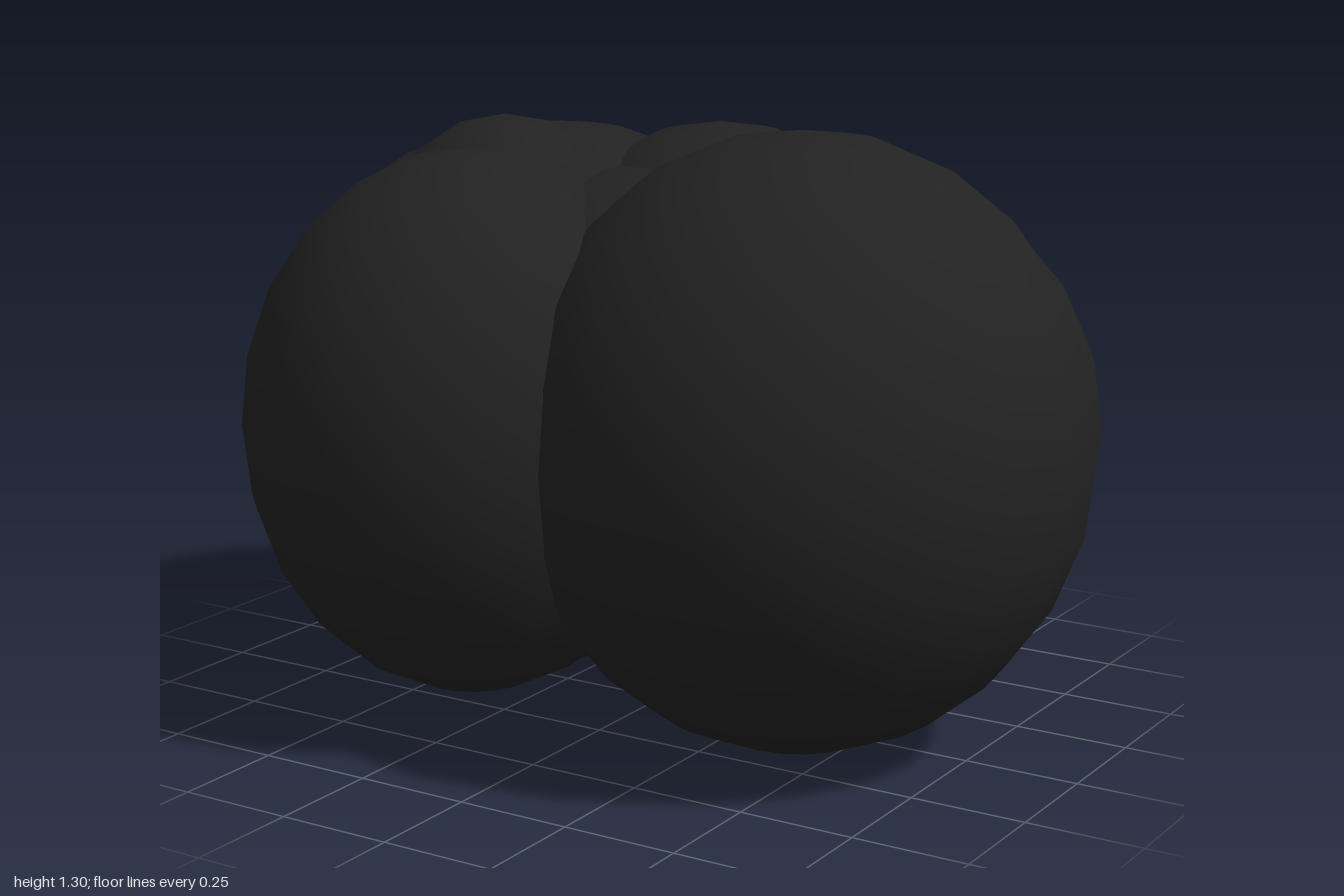
import * as THREE from 'three';

// A cluster of overlapping, slightly squashed puffs
export function createModel() {
  const group = new THREE.Group();
  group.name = 'puffCluster';
  const charcoal = new THREE.MeshStandardMaterial({ color: 0x222222 });
  charcoal.name = 'charcoal';
  const ball = new THREE.SphereGeometry(1, 20, 12);

  // name, centre x, y, z, horizontal radius, vertical radius
  const puffs = [
    ['frontLeftPuff', 0.385, 0.65, 0.07, 0.613, 0.65],
    ['backRightPuff', -0.338, 0.65, -0.073, 0.662, 0.605],
    ['frontRightPuff', -0.29, 0.655, 0.297, 0.488, 0.585],
    ['backLeftPuff', 0.29, 0.65, -0.18, 0.61, 0.548],
    ['upperBackPuff', 0.045, 0.655, -0.17, 0.5, 0.615],
    ['upperRightPuff', -0.355, 0.657, 0.07, 0.4, 0.628],
    ['corePuff', 0, 0.65, 0, 0.57, 0.55],
  ];
  for (const [name, x, y, z, radius, height] of puffs) {
    const puff = new THREE.Mesh(ball, charcoal);
    puff.name = name;
    puff.position.set(x, y, z);
    puff.scale.set(radius, height, radius);
    group.add(puff);
  }
  return group;
}
